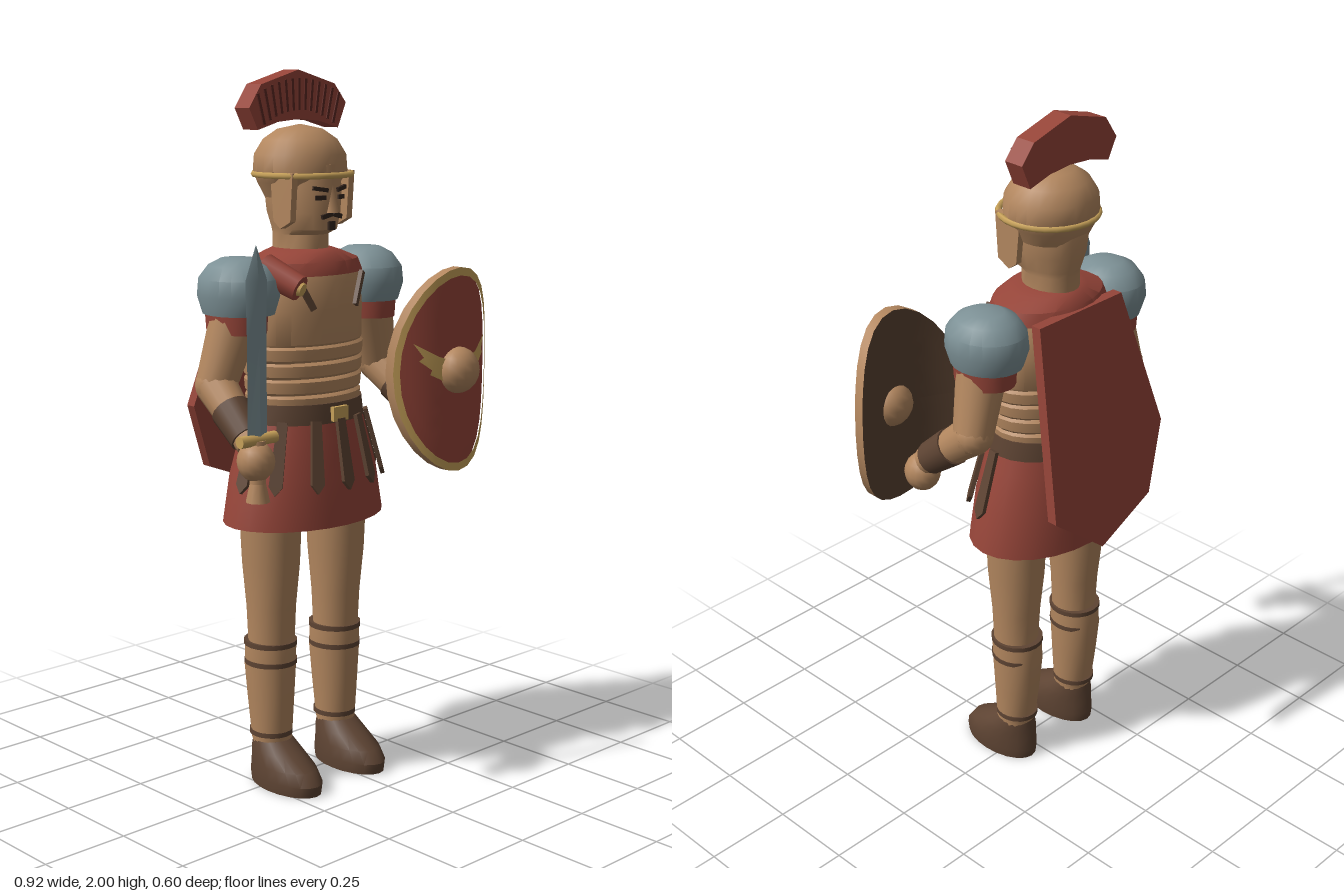
import * as THREE from 'three';
import { toCreasedNormals } from 'three/addons/utils/BufferGeometryUtils.js';

const CX = -0.075; // body axis; sword and shield shift it off centre
const V = (x, y, z) => new THREE.Vector3(x, y, z);

function mat(name, color) {
  const m = new THREE.MeshStandardMaterial({ color });
  m.name = name;
  return m;
}

// Closed skin over elliptical rings [y, rx, rz, cz]
function loft(rings, seg = 20) {
  const pos = [], idx = [];
  for (const [y, rx, rz, cz = -0.02] of rings)
    for (let j = 0; j < seg; j++) {
      const a = (j / seg) * Math.PI * 2;
      pos.push(rx * Math.sin(a), y, cz + rz * Math.cos(a));
    }
  const n = rings.length;
  for (let i = 0; i < n - 1; i++)
    for (let j = 0; j < seg; j++) {
      const a = i * seg + j, b = i * seg + (j + 1) % seg;
      idx.push(a, b, b + seg, a, b + seg, a + seg);
    }
  for (const [i, top] of [[0, false], [n - 1, true]]) {
    const c = pos.length / 3, [y, , , cz = -0.02] = rings[i];
    pos.push(0, y, cz);
    for (let j = 0; j < seg; j++) {
      const a = i * seg + j, b = i * seg + (j + 1) % seg;
      if (top) idx.push(c, a, b); else idx.push(c, b, a);
    }
  }
  const g = new THREE.BufferGeometry();
  g.setAttribute('position', new THREE.Float32BufferAttribute(pos, 3));
  g.setIndex(idx);
  return toCreasedNormals(g, 0.6);
}

function polygon(pts) {
  return new THREE.Shape(pts.map(([x, y]) => new THREE.Vector2(x, y)));
}
const plate = (pts, depth) => new THREE.ExtrudeGeometry(polygon(pts), { depth, bevelEnabled: false });

// Apply z += rule(x, y) to every vertex
function shiftZ(g, rule) {
  const p = g.attributes.position;
  for (let i = 0; i < p.count; i++) p.setZ(i, p.getZ(i) + rule(p.getX(i), p.getY(i)));
  g.computeVertexNormals();
  return g;
}

export function createModel() {
  const root = new THREE.Group();
  root.name = 'soldier';
  const tan = mat('tan', 0xb3875f), red = mat('red', 0x964539), steel = mat('steel', 0x7d9196);
  const gold = mat('gold', 0xc8a25a), brown = mat('brown', 0x5e4433), dark = mat('dark', 0x33251e);
  const darkRed = mat('darkRed', 0x5c2822);
  const shieldBack = mat('shieldBack', 0x5a4231);

  const add = (name, geo, m, x = CX, y = 0, z = 0) => {
    const o = new THREE.Mesh(geo, m);
    o.name = name;
    o.position.set(x, y, z);
    root.add(o);
    return o;
  };
  // Tapered round bar from a to b
  const limb = (name, a, b, ra, rb, m, seg = 14) => {
    const d = b.clone().sub(a), mid = a.clone().add(b).multiplyScalar(0.5);
    const o = add(name, new THREE.CylinderGeometry(rb, ra, d.length(), seg), m, mid.x, mid.y, mid.z);
    o.quaternion.setFromUnitVectors(V(0, 1, 0), d.normalize());
    return o;
  };
  const ball = (name, r, m, x, y, z, sx = 1, sy = 1, sz = 1) =>
    add(name, new THREE.SphereGeometry(r, 16, 10), m, x, y, z).scale.set(sx, sy, sz);

  // Banded cuirass, yoke and belt
  const torso = [];
  for (let i = 0; i < 4; i++) {
    const y = 1.085 + i * 0.045, r = 0.178 + i * 0.004;
    torso.push([y, r - 0.006, 0.126], [y + 0.007, r, 0.134], [y + 0.037, r + 0.003, 0.136], [y + 0.044, r - 0.005, 0.128]);
  }
  torso.push([1.27, 0.187, 0.134], [1.36, 0.186, 0.138], [1.44, 0.18, 0.13], [1.48, 0.15, 0.11]);
  add('cuirass', loft(torso, 24), tan);
  add('yoke', loft([[1.455, 0.188, 0.136], [1.49, 0.172, 0.126], [1.512, 0.11, 0.105], [1.522, 0.075, 0.09]], 24), red);
  add('belt', loft([[1.05, 0.189, 0.146], [1.105, 0.182, 0.141]], 24), brown);
  add('buckle', new THREE.BoxGeometry(0.055, 0.04, 0.02), gold, CX, 1.075, 0.123);

  // Skirt with hollow underside
  add('skirt', loft([[1.0, 0.18, 0.13], [0.78, 0.245, 0.168], [0.765, 0.258, 0.18], [0.9, 0.234, 0.168],
    [1.0, 0.202, 0.15], [1.09, 0.176, 0.134]], 24), red);

  // Leather skirt straps following the skirt surface
  for (const a of [0, 0.42, -0.42, 0.95, -0.95, 1.45, -1.45]) {
    const at = (y, rx, rz) => V(rx * Math.sin(a), y, rz * Math.cos(a) - 0.02);
    const top = at(1.06, 0.188, 0.143), low = at(0.865, 0.25, 0.181);
    const up = top.clone().sub(low), len = up.length();
    const Y = up.normalize(), X = V(0.2 * Math.cos(a), 0, -0.15 * Math.sin(a)).normalize();
    const Z = X.clone().cross(Y).normalize();
    X.copy(Y).cross(Z);
    const o = add('skirtStrap', plate([[-0.019, 0.025], [0, 0], [0.019, 0.025], [0.014, len], [-0.014, len]], 0.012), brown);
    o.quaternion.setFromRotationMatrix(new THREE.Matrix4().makeBasis(X, Y, Z));
    o.position.set(CX + low.x, low.y, low.z);
  }

  // Neck, head and face
  add('head', loft([[1.5, 0.072, 0.085, -0.03], [1.56, 0.07, 0.085, -0.03], [1.575, 0.075, 0.105, -0.015],
    [1.62, 0.087, 0.116, -0.018], [1.68, 0.093, 0.12, -0.02], [1.75, 0.09, 0.115, -0.02]]), tan);
  const nose = add('nose', new THREE.ConeGeometry(0.022, 0.075, 4), tan, CX, 1.66, 0.1);
  nose.scale.z = 0.9;
  for (const s of [1, -1]) {
    const eye = add('eye', new THREE.BoxGeometry(0.03, 0.012, 0.008), dark, CX + s * 0.037, 1.663, 0.091);
    eye.rotation.y = s * 0.3;
    const brow = add('eyebrow', new THREE.BoxGeometry(0.045, 0.011, 0.009), dark, CX + s * 0.038, 1.686, 0.092);
    brow.rotation.set(0, s * 0.3, s * 0.15);
    const half = add('moustache', new THREE.BoxGeometry(0.036, 0.012, 0.009), dark, CX + s * 0.018, 1.615, 0.097);
    half.rotation.set(0, s * 0.15, -s * 0.25);
    // Cheek guard hanging from the helmet
    const cheek = add('cheekGuard', plate([[-0.065, 1.73], [-0.055, 1.6], [-0.015, 1.58], [0.012, 1.6], [0.025, 1.73]], 0.02),
      tan, CX + s * 0.105 - 0.01);
    cheek.rotation.y = Math.PI / 2;
  }
  add('beard', new THREE.BoxGeometry(0.022, 0.024, 0.009), dark, CX, 1.587, 0.094);

  // Helmet with rolled brim
  add('helmet', loft([[1.66, 0.098, 0.092, -0.035], [1.7, 0.118, 0.112, -0.035], [1.73, 0.134, 0.125, -0.03], [1.775, 0.13, 0.122, -0.03],
    [1.815, 0.105, 0.098, -0.03], [1.842, 0.065, 0.06, -0.03], [1.855, 0.002, 0.002, -0.03]], 24), tan);
  const brim = add('helmetBrim', new THREE.TorusGeometry(0.132, 0.009, 6, 28), gold, CX, 1.722, -0.02);
  brim.rotation.x = Math.PI / 2;
  brim.scale.y = 1.02;

  // Transverse crest with bristle grooves on the front
  add('crest', plate([[-0.178, 1.9], [-0.135, 1.962], [0, 2], [0.135, 1.962], [0.178, 1.91], [0.148, 1.842],
    [0.075, 1.862], [0, 1.868], [-0.075, 1.862], [-0.148, 1.842]], 0.06), red, CX, 0, -0.095);
  for (let i = -6; i <= 6; i++) {
    const x = i * 0.023;
    const rib = add('crestGroove', new THREE.BoxGeometry(0.008, 0.085, 0.006), darkRed, CX + x, 1.935 - 2 * x * x, -0.034);
    rib.rotation.z = -x * 2;
  }

  // Cape: a flared slab leaning back
  const cape = plate([[-0.22, 1.48], [-0.32, 1.08], [-0.235, 0.89], [-0.025, 0.81], [0.14, 0.94], [0.1, 1.48]], 0.03);
  add('cape', shiftZ(cape, (x, y) => -0.157 + (y - 1.48) * 0.19), red, 0);
  limb('capeRoll', V(-0.255, 1.48, 0.02), V(-0.215, 1.43, 0.12), 0.042, 0.036, red, 10);
  limb('capePin', V(-0.217, 1.432, 0.11), V(-0.211, 1.426, 0.128), 0.022, 0.018, gold, 8);

  for (const s of [1, -1]) {
    const X = (d) => CX + s * d;
    // Chest strap
    const strap = add('chestStrap', new THREE.BoxGeometry(0.018, 0.1, 0.012), brown, X(0.1), 1.41, 0.098);
    strap.rotation.set(0, s * 0.4, -s * 0.5);

    // Shoulder guard, sleeve and arm
    add('shoulderGuard', loft([[1.36, 0.092, 0.105], [1.41, 0.106, 0.121], [1.455, 0.103, 0.115], [1.49, 0.08, 0.085],
      [1.508, 0.045, 0.05], [1.512, 0.002, 0.002]]), steel, X(0.235)).rotation.z = 0;
    add('sleeve', loft([[1.31, 0.074, 0.092], [1.38, 0.08, 0.095]]), red, X(0.243));
    const shoulder = V(X(0.245), 1.36, -0.015), elbow = V(X(0.305), 1.17, -0.035), wrist = V(X(0.325), 1.035, 0.13);
    limb('upperArm', shoulder, elbow, 0.072, 0.056, tan);
    ball('elbow', 0.057, tan, elbow.x, elbow.y, elbow.z);
    limb('forearm', elbow, wrist, 0.057, 0.04, tan);
    limb('wristGuard', elbow.clone().lerp(wrist, 0.42), elbow.clone().lerp(wrist, 0.9), 0.055, 0.047, brown);
    ball('hand', 0.05, tan, X(0.325), 0.993, 0.148, 1, 1.1, 1.05);

    // Leg, greave and boot
    add('leg', loft([[0.1, 0.054, 0.054], [0.3, 0.062, 0.07, -0.027], [0.42, 0.066, 0.066], [0.52, 0.069, 0.072],
      [0.65, 0.079, 0.086], [0.88, 0.09, 0.095]]), tan, X(0.125));
    add('greave', loft([[0.13, 0.057, 0.058], [0.25, 0.064, 0.07, -0.024], [0.35, 0.071, 0.077, -0.026], [0.42, 0.072, 0.074, -0.023]]), tan, X(0.125));
    for (const [y, r] of [[0.415, 0.074], [0.36, 0.073], [0.15, 0.06]])
      add('greaveBand', loft([[y - 0.007, r, r + 0.004, -0.024], [y + 0.007, r, r + 0.004, -0.024]]), brown, X(0.125));
    add('boot', loft([[0, 0.07, 0.126, 0.04], [0.03, 0.073, 0.13, 0.04], [0.065, 0.07, 0.115, 0.03],
      [0.1, 0.064, 0.084, 0.002], [0.132, 0.054, 0.058, -0.018]]), brown, X(0.125));
  }

  // Short sword held upright
  const SX = -0.4, SZ = 0.155;
  add('blade', loft([[1.05, 0.034, 0.012, 0], [1.3, 0.033, 0.011, 0], [1.47, 0.037, 0.01, 0], [1.56, 0.001, 0.001, 0]], 4), steel, SX, 0, SZ);
  limb('swordGuard', V(SX - 0.062, 1.052, SZ), V(SX + 0.062, 1.052, SZ), 0.016, 0.016, gold, 10);
  limb('swordGrip', V(SX, 0.91, SZ), V(SX, 1.05, SZ), 0.022, 0.022, tan, 10);
  limb('pommel', V(SX, 0.885, SZ), V(SX, 0.935, SZ), 0.033, 0.022, tan, 10);

  // Oval shield curved about its upright axis
  const bend = (g) => shiftZ(g, (x) => -2.1 * x * x);
  const oval = (r0, r1) => bend(new THREE.RingGeometry(r0, r1, 28, 6).scale(0.19, 0.29, 1));
  const HX = 0.263, HY = 1.172;
  add('shieldFace', oval(0.001, 0.95), red, HX, HY, 0.255);
  add('shieldRim', oval(0.92, 1), gold, HX, HY, 0.262);
  const edge = new THREE.CylinderGeometry(1, 1, 0.03, 28, 1, true).rotateX(Math.PI / 2).scale(0.19, 0.29, 1);
  add('shieldEdge', bend(edge), tan, HX, HY, 0.247);
  const back = new THREE.RingGeometry(0.001, 1, 28, 6).rotateY(Math.PI).scale(0.19, 0.29, 1);
  add('shieldBackFace', bend(back), shieldBack, HX, HY, 0.232);
  ball('shieldBoss', 0.066, tan, HX, HY, 0.255, 1, 1, 0.88);
  for (const s of [1, -1]) {
    const wing = polygon([[0.03, 0.03], [0.075, 0.045], [0.145, 0.085], [0.118, 0.045], [0.13, 0.035], [0.095, 0.008],
      [0.1, -0.005], [0.06, -0.025], [0.03, -0.025]].map(([x, y]) => [s * x, y]));
    add('shieldWing', bend(new THREE.ShapeGeometry(wing)), gold, HX, HY, 0.264);
  }
  return root;
}
